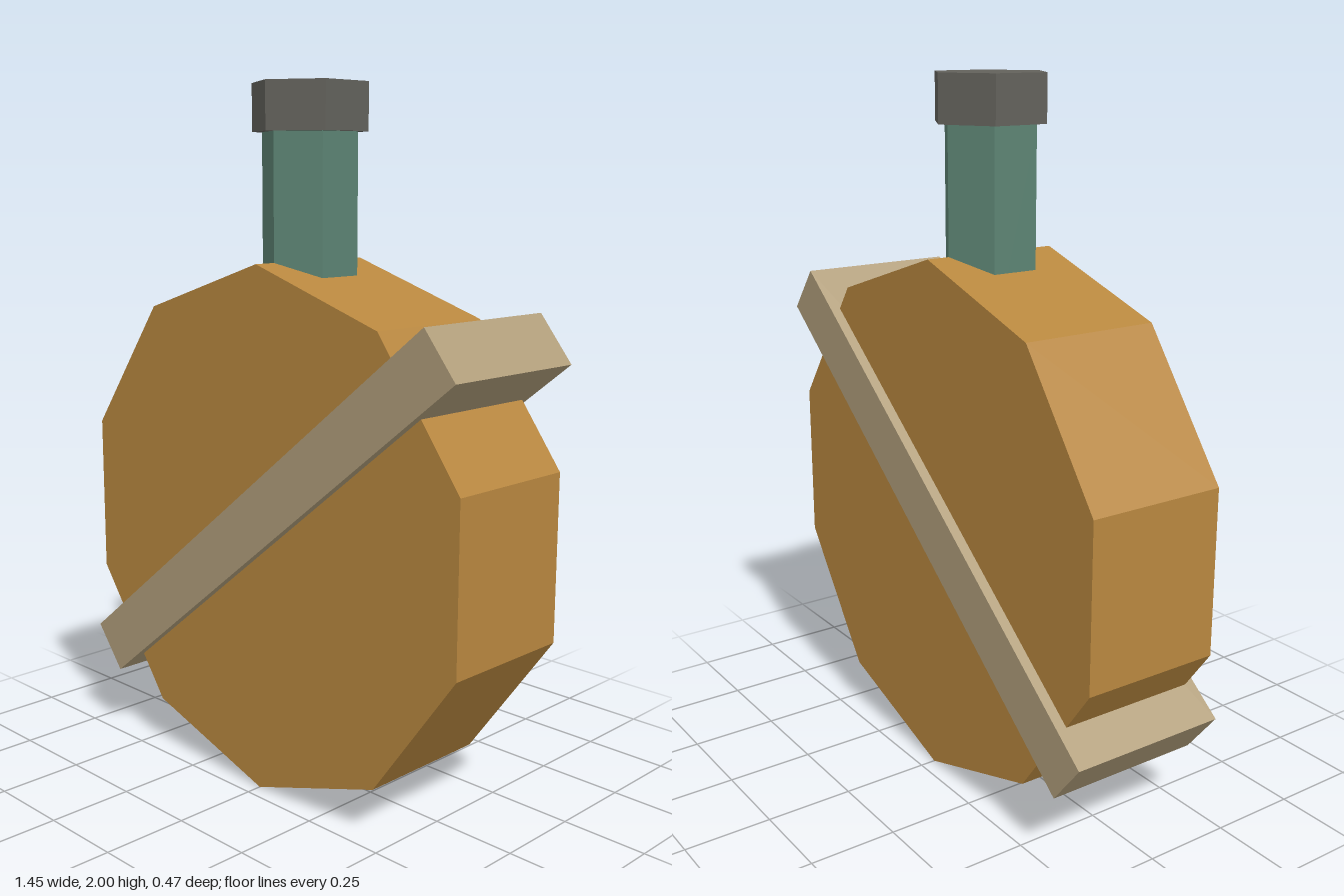
import * as THREE from 'three';

function material(name, color) {
  const m = new THREE.MeshStandardMaterial({ color });
  m.name = name;
  return m;
}

export function createModel() {
  const amber = material('amber', 0xb8873f);
  const green = material('bottleGreen', 0x5c8373);
  const grey = material('darkGrey', 0x62615b);
  const tan = material('strapTan', 0xb19e7b);

  const model = new THREE.Group();
  model.name = 'flask';

  function add(name, geometry, mat, y) {
    const mesh = new THREE.Mesh(geometry, mat);
    mesh.name = name;
    mesh.position.y = y;
    model.add(mesh);
    return mesh;
  }

  // faceted prism with crisp edges and a corner facing +z
  const prism = (radius, height, sides) =>
    new THREE.CylinderGeometry(radius, radius, height, sides).toNonIndexed();
  const flat = (geometry) => {
    geometry.computeVertexNormals();
    return geometry;
  };

  // round ten-sided body lying on its axis, one corner pointing up
  add('body', flat(prism(0.758, 0.41, 10).rotateX(-Math.PI / 2)), amber, 0.758);

  // hexagonal neck sunk into the body, and its cap
  add('neck', flat(prism(0.137, 0.57, 6)), green, 1.585);
  add('cap', flat(prism(0.166, 0.132, 6)), grey, 1.934);

  // diagonal strap across the body
  const strap = add('strap', new THREE.BoxGeometry(1.72, 0.162, 0.47), tan, 0.8);
  strap.rotation.z = 0.672;

  return model;
}
